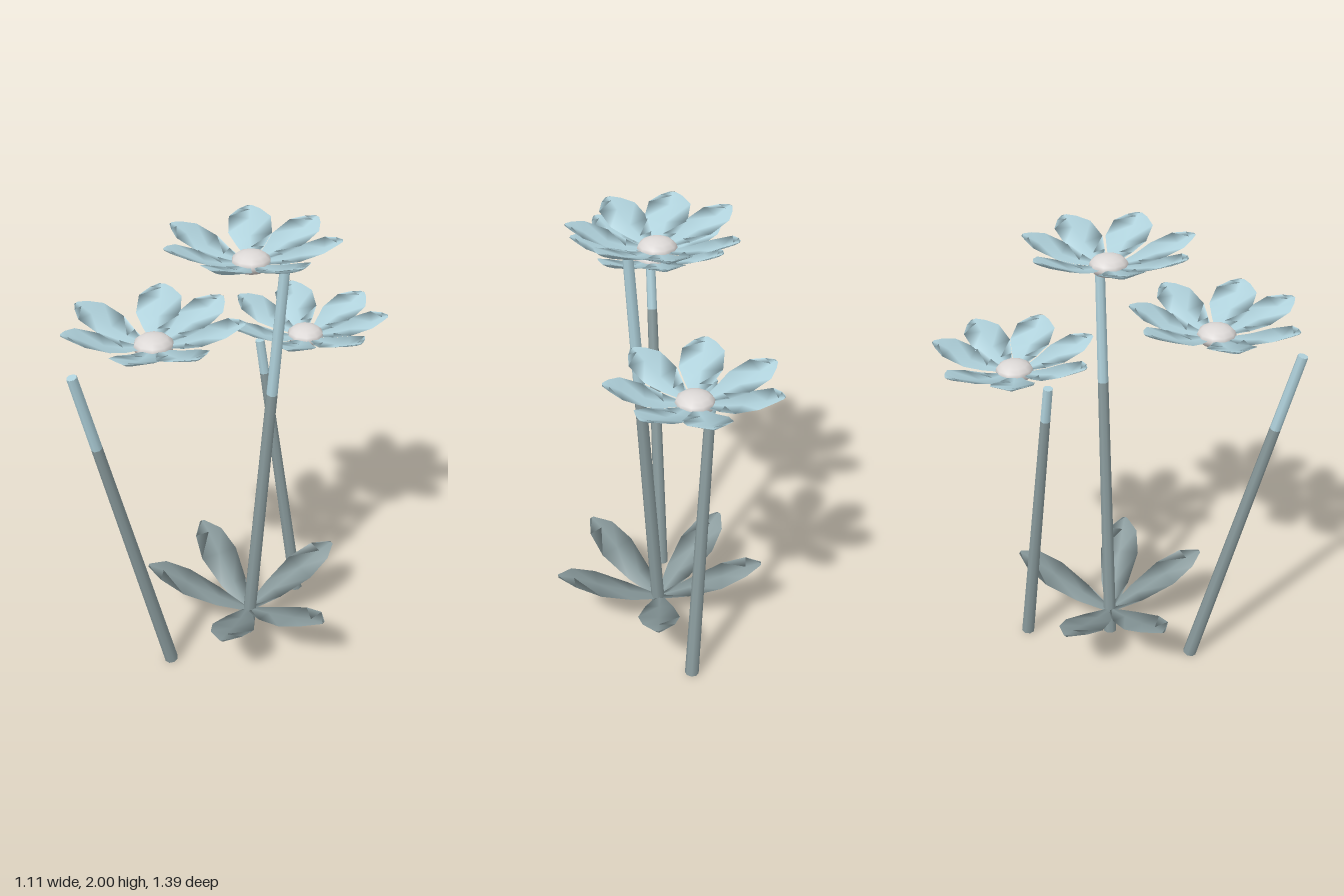
import * as THREE from 'three';

const mat = (name, color) => {
  const m = new THREE.MeshStandardMaterial({ color });
  m.name = name;
  return m;
};

// Closed blade along +x; each row is [distance, half width, height], with cupped edges
function bladeGeometry(rows, cup, thick) {
  const pos = [], idx = [];
  rows.forEach(([r, w, y], i) => {
    const e = y + cup * w, t = i === rows.length - 1 ? thick * 0.3 : thick;
    pos.push(r, e, -w, r, y + t / 2, 0, r, e, w, r, y - t / 2, 0);
  });
  for (let i = 0; i < rows.length - 1; i++) {
    for (let k = 0; k < 4; k++) {
      const a = i * 4 + k, b = i * 4 + (k + 1) % 4;
      idx.push(a, b, b + 4, a, b + 4, a + 4);
    }
  }
  const n = (rows.length - 1) * 4;
  idx.push(0, 2, 1, 0, 3, 2, n, n + 1, n + 2, n, n + 2, n + 3);
  const g = new THREE.BufferGeometry();
  g.setAttribute('position', new THREE.Float32BufferAttribute(pos, 3));
  g.setIndex(idx);
  g.computeVertexNormals();
  return g;
}

// Ring of blades at the given angles, measured from +x towards +z
function whorl(name, geometry, material, angles) {
  const group = new THREE.Group();
  group.name = name + 's';
  for (const a of angles) {
    const m = new THREE.Mesh(geometry, material);
    m.name = name;
    m.rotation.y = -THREE.MathUtils.degToRad(a);
    group.add(m);
  }
  return group;
}

// Tapered rod between two points
function rod(name, a, b, ra, rb, material) {
  const d = b.clone().sub(a);
  const m = new THREE.Mesh(new THREE.CylinderGeometry(rb, ra, d.length(), 8), material);
  m.name = name;
  m.position.copy(a).add(b).multiplyScalar(0.5);
  m.quaternion.setFromUnitVectors(new THREE.Vector3(0, 1, 0), d.normalize());
  return m;
}

export function createModel() {
  const root = new THREE.Group();
  root.name = 'flowers';
  const blue = mat('pale blue', 0xb0d2dc);
  const green = mat('grey green', 0x8a9b9d);
  const white = mat('warm white', 0xdcd8d6);

  const petal = bladeGeometry([
    [0.05, 0.02, -0.005], [0.12, 0.055, 0.005], [0.19, 0.088, 0.025],
    [0.28, 0.085, 0.062], [0.325, 0.045, 0.085], [0.35, 0.012, 0.097],
  ], 0.2, 0.012);
  const leaf = bladeGeometry([
    [0.01, 0.02, 0], [0.14, 0.065, 0.05], [0.29, 0.093, 0.12],
    [0.4, 0.07, 0.18], [0.47, 0.012, 0.212],
  ], 0.15, 0.022);
  const core = new THREE.SphereGeometry(0.08, 10, 8);

  const plants = [
    { base: [0.07, 0.01, -0.02], top: [0.21, 1.91, -0.01], split: 1.33,
      head: [0.07, 1.9, -0.02], angles: [97, 142, 188, 252, 302, 348, 41] },
    { base: [-0.21, 0.01, 0.28], top: [-0.43, 1.63, 0.6], split: 1.29,
      head: [-0.21, 1.665, 0.33], angles: [85, 143, 191, 255, 300, 345, 41] },
    { base: [0.21, 0.01, -0.395], top: [0.03, 1.42, -0.3], split: 1.26,
      head: [0.21, 1.43, -0.39], angles: [88, 140, 197, 244, 302, 346, 36] },
  ];

  for (const p of plants) {
    // Two-tone stem
    const a = new THREE.Vector3(...p.base), b = new THREE.Vector3(...p.top);
    const t = (p.split - a.y) / (b.y - a.y);
    const mid = a.clone().lerp(b, t), rm = 0.031 - 0.01 * t;
    root.add(rod('lowerStem', a, mid, 0.031, rm, green));
    root.add(rod('upperStem', mid, b, rm, 0.021, blue));

    // Flower head
    const head = new THREE.Group();
    head.name = 'flowerHead';
    head.position.set(...p.head);
    const c = new THREE.Mesh(core, white);
    c.name = 'flowerCentre';
    c.scale.y = 0.56;
    head.add(c, whorl('petal', petal, blue, p.angles));
    root.add(head);
  }

  // Leaf rosette around the middle stem
  const leaves = whorl('leaf', leaf, green, [29, 87, 170, 224, 312]);
  leaves.position.set(0.07, 0.135, -0.02);
  root.add(leaves);
  return root;
}
